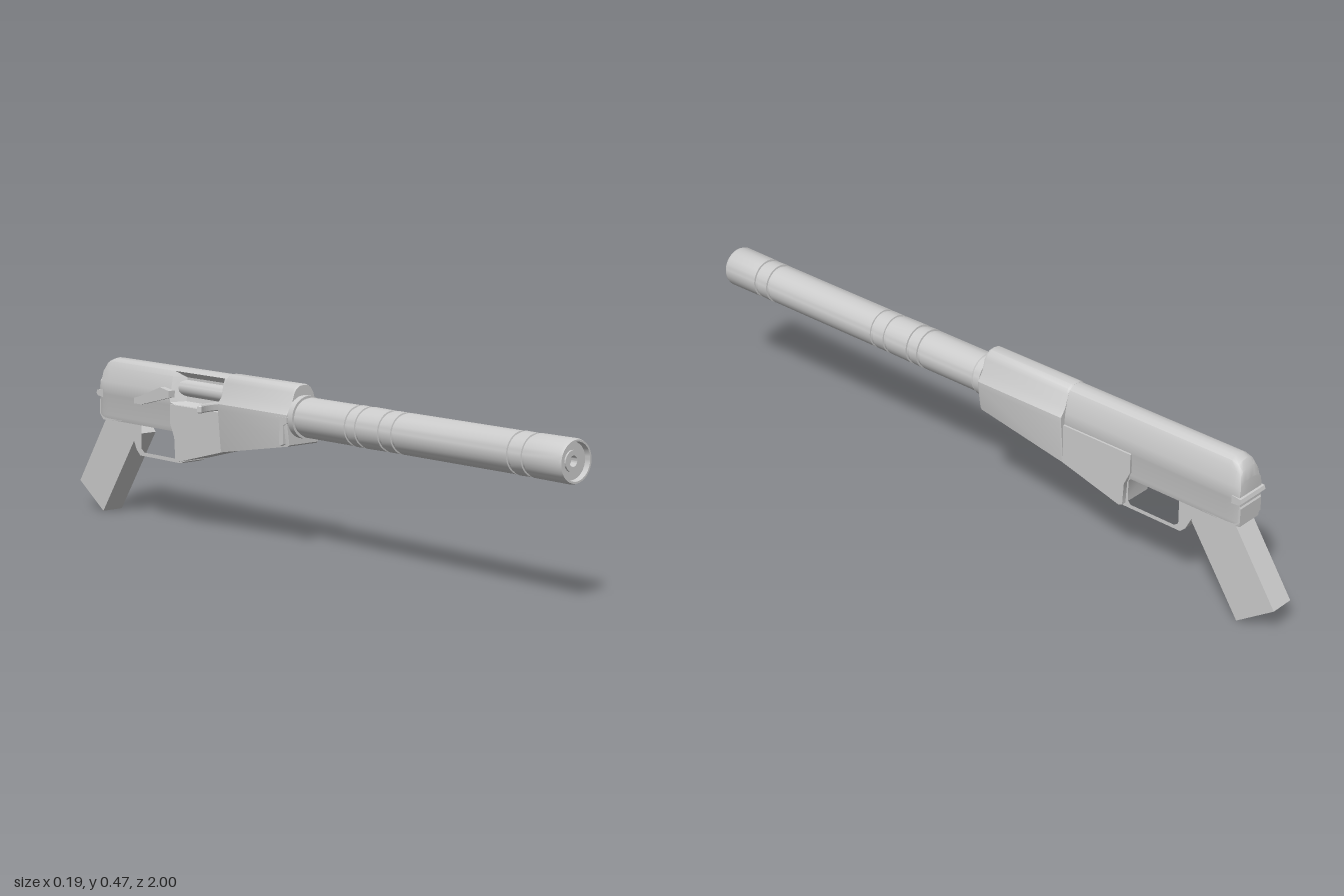
import * as THREE from 'three';
import { toCreasedNormals } from 'three/addons/utils/BufferGeometryUtils.js';

const CX = 0.027; // centre line of the body
const AXIS = 0.382; // height of the barrel axis
const mat = new THREE.MeshStandardMaterial({ color: 0xcccccc });

function add(group, name, geometry, crease = 0.5) {
  const mesh = new THREE.Mesh(toCreasedNormals(geometry, crease), mat);
  mesh.name = name;
  group.add(mesh);
  return mesh;
}

// Mirror a right half-outline (bottom to top centre) into a closed outline
function mirror(half) {
  const left = half.slice(0, -1).reverse().map(([x, y]) => [-x, y]);
  return [...half, ...left];
}

// Skin closed outlines running from front to back, with end caps
function loft(stations) {
  const pos = [];
  const put = (s, i) => pos.push(CX + s.pts[i][0], s.pts[i][1], s.z);
  for (let k = 0; k < stations.length - 1; k++) {
    const a = stations[k], b = stations[k + 1], n = a.pts.length;
    for (let i = 0; i < n; i++) {
      const j = (i + 1) % n;
      put(a, i); put(b, i); put(a, j);
      put(b, i); put(b, j); put(a, j);
    }
  }
  const cap = (s, flip) => {
    const tris = THREE.ShapeUtils.triangulateShape(s.pts.map(p => new THREE.Vector2(...p)), []);
    for (const t of tris) (flip ? [t[0], t[2], t[1]] : t).forEach(i => put(s, i));
  };
  cap(stations[0], false);
  cap(stations[stations.length - 1], true);
  const g = new THREE.BufferGeometry();
  g.setAttribute('position', new THREE.Float32BufferAttribute(pos, 3));
  return g;
}

// Extrude a (z, y) side outline across the width
function slab(points, width, x = CX, hole) {
  const shape = new THREE.Shape(points.map(p => new THREE.Vector2(...p)));
  if (hole) shape.holes.push(new THREE.Path(hole.map(p => new THREE.Vector2(...p))));
  const g = new THREE.ExtrudeGeometry(shape, { depth: width, bevelEnabled: false });
  return g.rotateY(-Math.PI / 2).translate(x + width / 2, 0, 0);
}

const guardSection = (z, bottom, s = 1) => ({
  z,
  pts: mirror([[0.054, bottom], [0.064, 0.375], [0.064, 0.392], [0.047, 0.415], [0.036, 0.45],
    [0.028, 0.463], [0.015, 0.471], [0, 0.473]].map(([x, y]) => [x * s, AXIS + (y - AXIS) * s])),
});

// Receiver outline; top squashes the arch, port dents the -x side
function receiverSection(z, top = 0.47, s = 1, port = false) {
  const k = (top - 0.4) / 0.07;
  const pts = mirror([[0.042, 0.285], [0.046, 0.3], [0.046, 0.362], [0.049, 0.37], [0.045, 0.4],
    [0.036, 0.445], [0.028, 0.46], [0.015, 0.468], [0, 0.47]]
    .map(([x, y]) => [x * s, y > 0.4 ? 0.4 + (y - 0.4) * k : y]));
  if (port) {
    pts[11] = [-0.014, 0.444];
    pts[12] = [-0.014, 0.4];
    pts[13] = [-0.02, 0.375];
  }
  return { z, pts };
}

export function createModel() {
  const model = new THREE.Group();

  // Barrel: turned profile with shallow ring grooves and a recessed muzzle
  const R = 0.056;
  const profile = [[0, 0.97], [0.014, 0.97], [0.014, 0.99], [0.028, 0.99], [0.028, 0.985],
    [0.048, 0.985], [0.05, 1], [0.055, 1], [0.058, 0.992]];
  for (const z of [0.87, 0.82, 0.4, 0.35, 0.26, 0.22]) {
    const r = z > 0.8 || z < 0.3 ? R + 0.001 : R;
    profile.push([r, z + 0.006], [R - 0.004, z + 0.005], [R - 0.004, z - 0.005], [R, z - 0.006]);
  }
  profile.push([R, 0.02], [0.053, 0.018], [0.053, -0.05], [0, -0.05]);
  const barrel = new THREE.LatheGeometry(profile.reverse().map(p => new THREE.Vector2(...p)), 40);
  add(model, 'barrel', barrel.rotateX(Math.PI / 2).translate(CX, AXIS, 0));

  // Collar where the barrel enters the body
  add(model, 'barrelCollar', new THREE.CylinderGeometry(0.06, 0.06, 0.02, 40)
    .rotateX(Math.PI / 2).translate(CX, AXIS, 0));

  // Front housing with a rising underside
  add(model, 'frontHousing', loft([
    guardSection(-0.01, 0.305, 0.97), guardSection(-0.016, 0.303), guardSection(-0.3, 0.253),
    guardSection(-0.306, 0.256, 0.97),
  ]));

  // Receiver with a recessed side port and a rounded rear
  add(model, 'receiver', loft([
    receiverSection(-0.29), receiverSection(-0.312), receiverSection(-0.314, 0.47, 1, true),
    receiverSection(-0.5, 0.47, 1, true), receiverSection(-0.54), receiverSection(-0.84),
    receiverSection(-0.862, 0.462, 0.99), receiverSection(-0.875, 0.445, 0.96),
    receiverSection(-0.882, 0.415, 0.92),
  ]));

  // Bolt inside the port, with its curved handle
  add(model, 'bolt', new THREE.CylinderGeometry(0.026, 0.026, 0.2, 20)
    .rotateX(Math.PI / 2).translate(CX - 0.006, 0.412, -0.42));
  const handle = new THREE.Shape();
  handle.moveTo(0.015, -0.318);
  handle.lineTo(-0.03, -0.322);
  handle.quadraticCurveTo(-0.065, -0.325, -0.09, -0.313);
  handle.lineTo(-0.095, -0.322);
  handle.quadraticCurveTo(-0.07, -0.342, -0.03, -0.343);
  handle.lineTo(0.015, -0.345);
  add(model, 'boltHandle', new THREE.ExtrudeGeometry(handle, {
    depth: 0.016, bevelThickness: 0.003, bevelSize: 0.002, bevelSegments: 1,
  }).rotateX(Math.PI / 2).translate(0, 0.388, 0));

  // Rear ledge and lower rear block
  add(model, 'rearLedge', slab([[-0.86, 0.352], [-0.885, 0.355], [-0.892, 0.362],
    [-0.888, 0.372], [-0.86, 0.376]], 0.1));
  add(model, 'rearBlock', slab([[-0.74, 0.29], [-0.868, 0.283], [-0.885, 0.3],
    [-0.885, 0.34], [-0.875, 0.355], [-0.74, 0.355]], 0.086));

  // Lower housing sloping down to the trigger guard
  add(model, 'lowerHousing', slab([[-0.295, 0.254], [-0.5, 0.2], [-0.512, 0.205],
    [-0.516, 0.27], [-0.535, 0.31], [-0.535, 0.365], [-0.295, 0.365]], 0.106));
  add(model, 'triggerGuard', slab(
    [[-0.49, 0.2], [-0.505, 0.194], [-0.695, 0.194], [-0.712, 0.21], [-0.73, 0.245],
      [-0.78, 0.29], [-0.78, 0.33], [-0.49, 0.33]], 0.078, CX,
    [[-0.52, 0.215], [-0.53, 0.205], [-0.675, 0.205], [-0.688, 0.215],
      [-0.688, 0.305], [-0.55, 0.308], [-0.52, 0.275]]));

  // Angled grip
  add(model, 'grip', slab([[-0.715, 0.255], [-0.885, 0], [-1, 0.08], [-0.865, 0.285],
    [-0.76, 0.31]], 0.07));

  // Side lever behind the port and small clip at the front, both on the -x side
  add(model, 'sideLever', slab([[-0.53, 0.405], [-0.53, 0.385], [-0.66, 0.352],
    [-0.695, 0.352], [-0.695, 0.368], [-0.66, 0.378], [-0.57, 0.412]], 0.024, -0.022));
  add(model, 'frontClip', slab([[-0.008, 0.385], [-0.008, 0.37], [-0.022, 0.362], [-0.022, 0.31],
    [-0.034, 0.304], [-0.04, 0.312], [-0.036, 0.375], [-0.05, 0.385]], 0.012, -0.032));

  return model;
}
